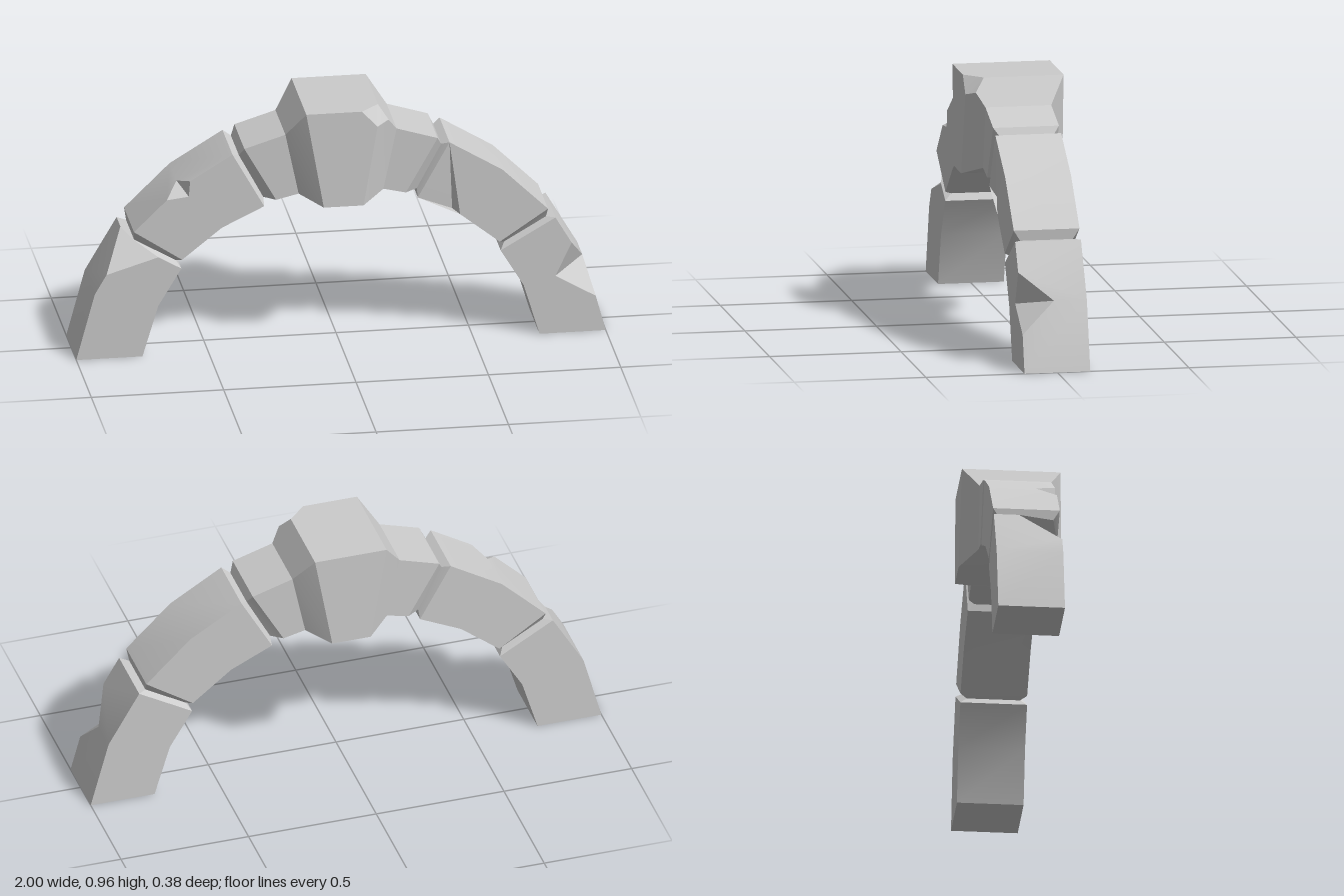
import * as THREE from 'three';
import { toCreasedNormals } from 'three/addons/utils/BufferGeometryUtils.js';

// Cross-sections of half the arch, foot to crown:
// outer x, outer y, inner x, inner y, outer half depth, inner half depth
const half = [
  [1, 0, 0.75, 0, 0.125, 0.125],
  [0.93, 0.26, 0.69, 0.2, 0.125, 0.125],
  [0.81, 0.465, 0.603, 0.345, 0.125, 0.125],
  [0.778, 0.462, 0.62, 0.37, 0.1, 0.1], // recessed joint
  [0.782, 0.502, 0.6, 0.38, 0.125, 0.125],
  [0.61, 0.67, 0.45, 0.5, 0.125, 0.125],
  [0.41, 0.792, 0.29, 0.577, 0.125, 0.125],
  [0.382, 0.778, 0.29, 0.605, 0.1, 0.1], // recessed joint
  [0.365, 0.812, 0.245, 0.6, 0.125, 0.125],
  [0.21, 0.86, 0.16, 0.62, 0.125, 0.125],
  [0.14, 0.96, 0.075, 0.585, 0.185, 0.192],
];
const mirrored = half.map(([a, b, c, d, e, f]) => [-a, b, -c, d, e, f]).reverse();

// Ring corners: outer front, outer back, inner back, inner front
const rings = [...half, ...mirrored].map(([ox, oy, ix, iy, od, id]) => [
  new THREE.Vector3(ox, oy, od),
  new THREE.Vector3(ox, oy, -od),
  new THREE.Vector3(ix, iy, -id),
  new THREE.Vector3(ix, iy, id),
]);

// Broken outer front corners, by ring: how far the break runs along each edge
const chips = {
  1: { prev: 0.46, next: 0.49, across: 0.5, down: 0.5 },
  10: { prev: 0.5, next: 0.25, across: 0.18, down: 0.17 },
  16: { prev: 0.2, next: 0.28, across: 0.3, down: 0.22 },
  19: { prev: 0.95, next: 0.63, across: 0.62, down: 0.58 },
};

const corner = ([i, k]) => rings[i][k];

// Point where the break at ring i meets the edge towards another corner
function chipPoint(i, [j, k]) {
  const c = chips[i];
  const t = j < i ? c.prev : j > i ? c.next : k === 1 ? c.across : c.down;
  return rings[i][0].clone().lerp(rings[j][k], t);
}

// Resolve corner ids to points, trimming any chipped corner
function trimmed(ids) {
  return ids.flatMap((id, n) => {
    const [i, k] = id;
    if (k !== 0 || !chips[i]) return [corner(id)];
    const before = ids[(n + ids.length - 1) % ids.length];
    const after = ids[(n + 1) % ids.length];
    return [chipPoint(i, before), chipPoint(i, after)];
  });
}

function buildStone(name, from, to, material) {
  const pos = [];
  const face = (pts) => {
    for (let n = 1; n < pts.length - 1; n++) {
      for (const p of [pts[0], pts[n], pts[n + 1]]) pos.push(p.x, p.y, p.z);
    }
  };

  for (let i = from; i < to; i++) {
    for (let k = 0; k < 4; k++) {
      const m = (k + 1) % 4;
      if (i === 5 && k === 3) {
        // Cracked front: a shallow step along the diagonal
        const [o5, i5, o6, i6] = [rings[5][0], rings[5][3], rings[6][0], rings[6][3]];
        const sunk = new THREE.Vector3(0.425, 0.512, 0.09);
        face([i5, o5, o6]);
        face([sunk, o6, i6]);
        face([i5, o6, sunk]);
        face([i5, sunk, i6]);
      } else {
        face(trimmed([[i, k], [i, m], [i + 1, m], [i + 1, k]]));
      }
    }
    // Broken surfaces
    if (chips[i] && i > from) {
      const p = chipPoint(i, [i - 1, 0]);
      const n = chipPoint(i, [i + 1, 0]);
      const o = chipPoint(i, [i, 1]);
      const f = chipPoint(i, [i, 3]);
      face([p, o, f]);
      face([n, f, o]);
    }
  }

  // Soles of the two feet
  if (from === 0) face([...rings[0]].reverse());
  if (to === rings.length - 1) face(rings[to]);

  const geometry = new THREE.BufferGeometry();
  geometry.setAttribute('position', new THREE.Float32BufferAttribute(pos, 3));
  const mesh = new THREE.Mesh(toCreasedNormals(geometry, 0.42), material);
  mesh.name = name;
  return mesh;
}

export function createModel() {
  const group = new THREE.Group();
  group.name = 'stoneArch';
  const stone = new THREE.MeshStandardMaterial({ color: 0xcccccc, side: THREE.DoubleSide });
  const parts = [
    ['leftFoot', 0, 3],
    ['leftHaunch', 3, 7],
    ['leftShoulder', 7, 9],
    ['keystone', 9, 12],
    ['rightShoulder', 12, 14],
    ['rightHaunch', 14, 18],
    ['rightFoot', 18, 21],
  ];
  for (const [name, from, to] of parts) group.add(buildStone(name, from, to, stone));
  return group;
}
